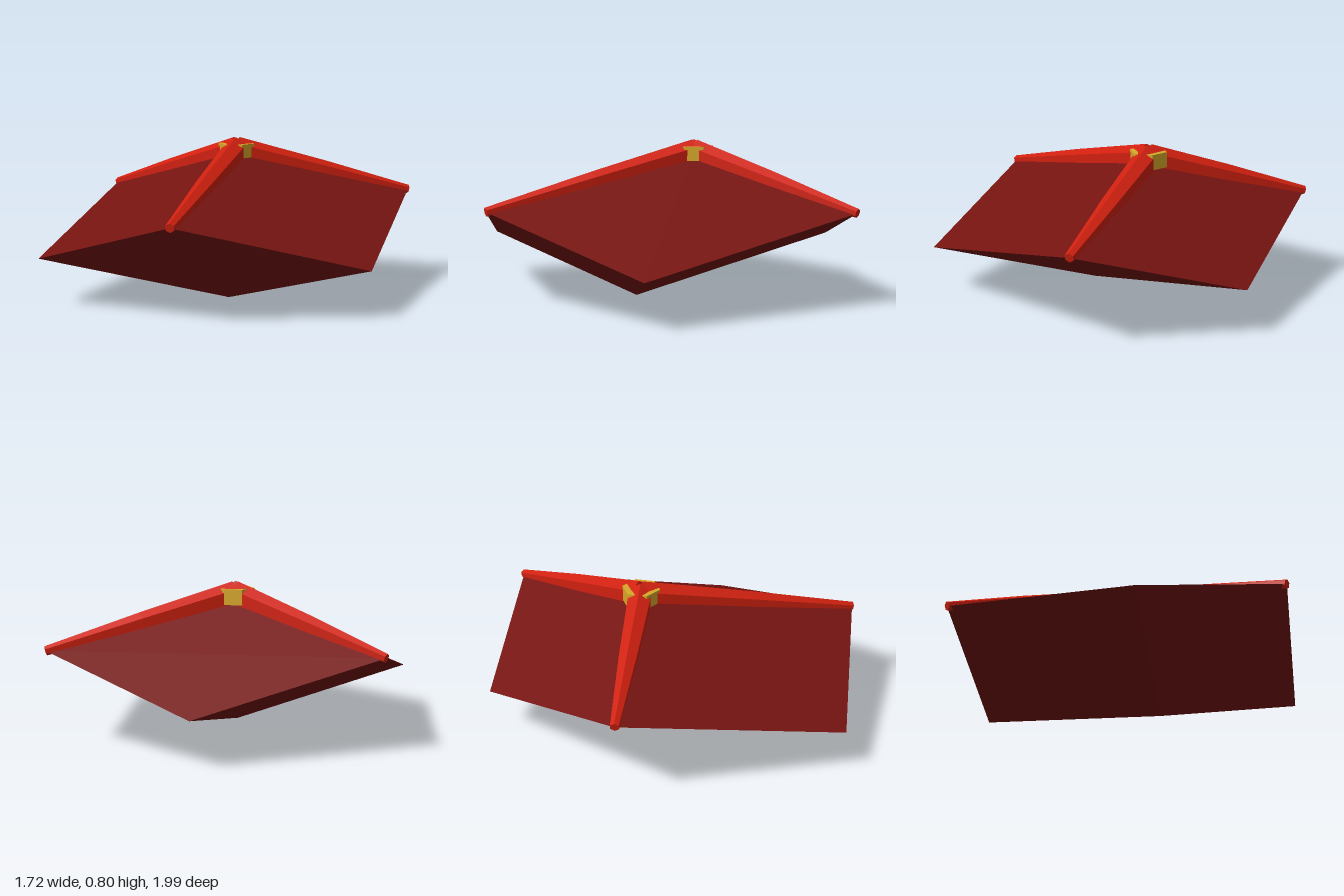
import * as THREE from 'three';

export function createModel() {
  const model = new THREE.Group();
  const paint = (color) => {
    const m = new THREE.MeshStandardMaterial({ flatShading: true });
    m.color.set(color);
    return m;
  };
  const add = (name, geometry, material) => {
    const mesh = new THREE.Mesh(geometry, material);
    mesh.name = name;
    model.add(mesh);
    return mesh;
  };
  const red = paint(0xd0200f);

  // Peak of the body and the three corners its ridges run to
  const peak = new THREE.Vector3(-0.03, 0.735, -0.195);
  const corners = {
    backRightRib: new THREE.Vector3(-0.83, 0.49, -0.56),
    backLeftRib: new THREE.Vector3(0.85, 0.49, -0.635),
    frontRib: new THREE.Vector3(-0.06, 0.49, 0.985),
  };
  const edges = Object.values(corners).map((c) => c.clone().sub(peak));

  // Body: a unit box skewed so that its edges follow the three ridges
  const body = new THREE.BoxGeometry(1, 1, 1).translate(0.5, 0.5, 0.5);
  body.applyMatrix4(new THREE.Matrix4().makeBasis(...edges).setPosition(peak));
  add('body', body, paint(0x761411));

  // Tapered six-sided ribs, one corner of each section pointing up
  Object.keys(corners).forEach((name, i) => {
    const length = edges[i].length();
    const profile = [[0, 0], [0.07, 0], [0.052, length / 2], [0.024, length], [0, length]]
      .map(([r, y]) => new THREE.Vector2(r, y));
    const along = edges[i].clone().normalize();
    const side = along.clone().cross(new THREE.Vector3(0, 1, 0)).normalize();
    const up = side.clone().cross(along);
    const rib = new THREE.LatheGeometry(profile, 6);
    rib.applyMatrix4(new THREE.Matrix4().makeBasis(side, along, up).setPosition(peak));
    add(name, rib, red);
  });

  // Gold hub showing between the ribs, flat sides facing the gaps
  const hub = new THREE.CylinderGeometry(0.1, 0.1, 0.08, 6).rotateY(Math.PI / 6);
  add('hub', hub, paint(0xd9a82a)).position.set(peak.x, 0.73, peak.z);

  return model;
}
